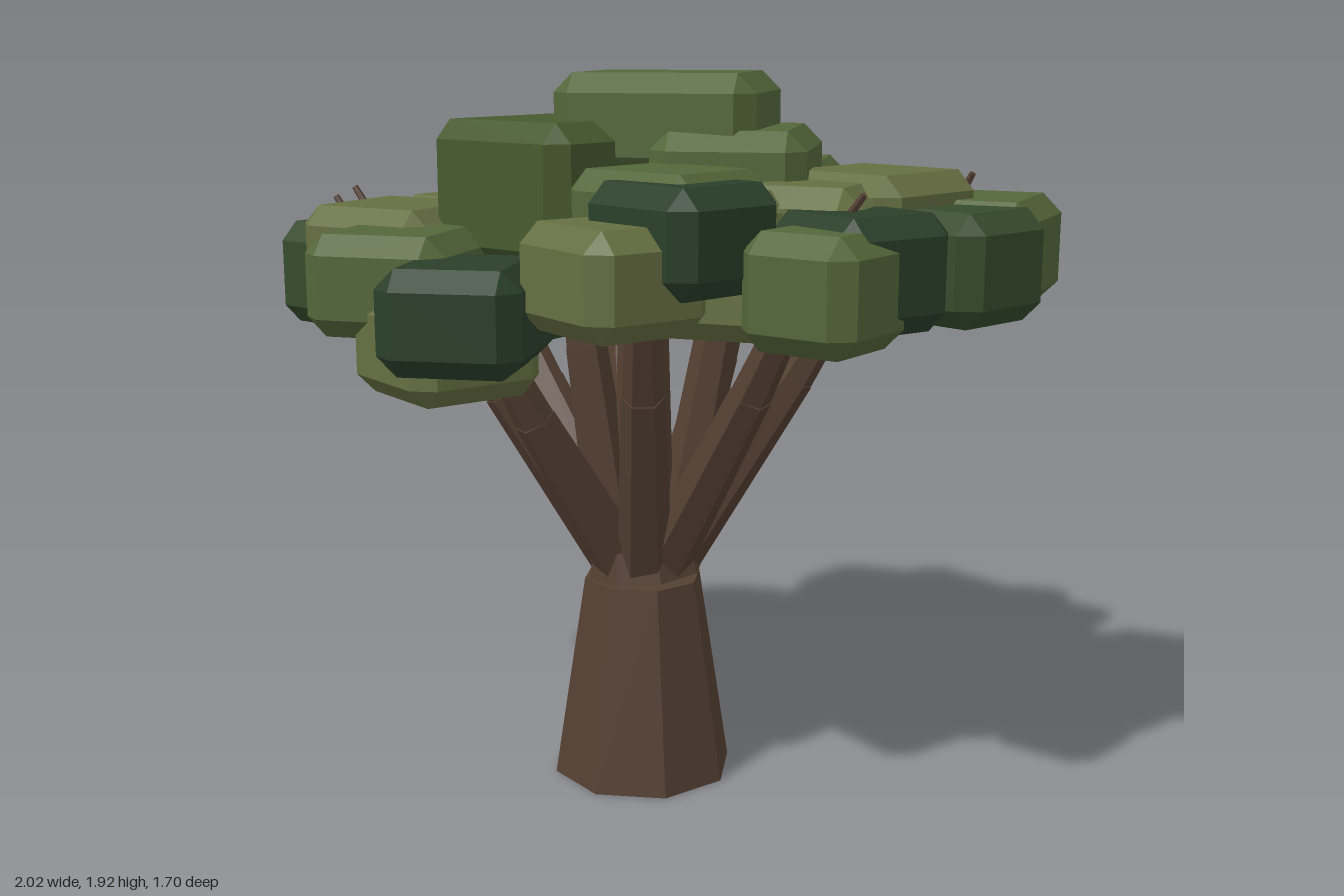
import * as THREE from 'three';
import { ConvexGeometry } from 'three/addons/geometries/ConvexGeometry.js';

const mat = (color) => new THREE.MeshStandardMaterial({ color, flatShading: true });
const bark = mat(0x544033);
const teal = mat(0x2a3f2a), dark = mat(0x364b2c), mid = mat(0x475a2f);
const green = mat(0x54673a), olive = mat(0x666f42);

// Box with every edge and corner chamfered by c
function chamferBox(w, h, d, c = 0.05) {
  const half = [w / 2, h / 2, d / 2];
  const points = [];
  for (const sx of [-1, 1]) for (const sy of [-1, 1]) for (const sz of [-1, 1]) {
    for (let axis = 0; axis < 3; axis++) {
      const [x, y, z] = half.map((v, i) => (i === axis ? v : v - c));
      points.push(new THREE.Vector3(sx * x, sy * y, sz * z));
    }
  }
  return new ConvexGeometry(points);
}

// Tapered straight piece of wood between two points
function limb(name, from, to, r0, r1, sides) {
  const dir = to.clone().sub(from);
  const mesh = new THREE.Mesh(new THREE.CylinderGeometry(r1, r0, dir.length(), sides), bark);
  mesh.position.lerpVectors(from, to, 0.5);
  mesh.quaternion.setFromUnitVectors(new THREE.Vector3(0, 1, 0), dir.normalize());
  mesh.name = name;
  return mesh;
}

const vec = (x, y, z) => new THREE.Vector3(x, y, z);

// Two-part branch from the collar to a tip inside the leaves
function branch(x, y, z) {
  const group = new THREE.Group();
  group.name = 'branch';
  const tip = vec(x, y, z);
  const reach = Math.hypot(x, z - 0.04);
  const k = Math.min(0.085 / reach, 0.4);
  const base = vec(x * k, 0.62, 0.04 + (z - 0.04) * k);
  const joint = base.clone().lerp(tip, 0.67);
  joint.y -= 0.015;
  group.add(limb('lowerBranch', base, joint, 0.074, 0.056, 6));
  group.add(limb('upperBranch', joint, tip, 0.054, 0.04, 6));
  return group;
}

// Leaf block of a given height, hung from its top
function leafBlock(height, color, x, z, top, size, turn, depth = size) {
  const mesh = new THREE.Mesh(chamferBox(size, height, depth), color);
  mesh.position.set(x, top - height / 2, z);
  mesh.rotation.y = turn;
  mesh.name = 'leafBlock';
  return mesh;
}

function leafCluster(name, height, blocks) {
  const group = new THREE.Group();
  group.name = name;
  for (const block of blocks) group.add(leafBlock(height, ...block));
  return group;
}

export function createModel() {
  const tree = new THREE.Group();
  tree.name = 'tree';

  // Trunk, a slightly tilted collar above a narrow crack, and the central limb
  tree.add(limb('trunk', vec(-0.005, 0, 0.045), vec(-0.005, 0.56, 0.045), 0.25, 0.163, 8));
  tree.add(limb('trunkCollar', vec(0.005, 0.572, 0.04), vec(-0.003, 0.66, 0.043), 0.16, 0.142, 8));
  tree.add(limb('centralLimb', vec(0, 0.62, 0.04), vec(-0.03, 1.7, 0), 0.085, 0.06, 7));

  // Branches fanning out
  const tips = [
    [-0.6, 1.33, 0.12], [-0.56, 1.27, -0.12], [-0.34, 1.36, -0.38], [0.06, 1.4, -0.42],
    [0.52, 1.4, -0.16], [0.54, 1.4, 0.22], [0.22, 1.4, 0.42], [-0.2, 1.27, 0.47],
    [-0.4, 1.34, 0.38], [0.2, 1.55, -0.1], [-0.18, 1.5, 0.12],
  ];
  for (const tip of tips) tree.add(branch(...tip));

  // Leaf clusters: colour, x, z, top, size, turn and, where not square, depth
  tree.add(leafCluster('crownLeaves', 0.26, [
    [green, 0.03, -0.04, 1.92, 0.53, 0.29, 0.45],
    [green, 0.21, -0.09, 1.78, 0.4, 0.35, 0.52],
  ]));
  tree.add(leafCluster('tallCrownLeaves', 0.37, [
    [mid, -0.22, 0.12, 1.8, 0.48, -0.17, 0.51],
    [green, 0.09, -0.5, 1.67, 0.42, 0.32],
    [olive, 0.25, -0.28, 1.65, 0.42, 0.2],
    [olive, 0.28, 0.13, 1.65, 0.42, 0.2],
  ]));
  tree.add(leafCluster('backLeaves', 0.33, [
    [dark, -0.385, -0.455, 1.6, 0.41, -0.28],
    [olive, -0.18, -0.65, 1.58, 0.37, -0.31, 0.34],
    [dark, -0.41, -0.575, 1.56, 0.35, 0.2],
    [teal, 0.28, -0.53, 1.57, 0.36, -0.15],
  ]));
  tree.add(leafCluster('leftLeaves', 0.28, [
    [green, 0.75, -0.31, 1.61, 0.45, 0.1, 0.4],
    [dark, 0.825, -0.1, 1.6, 0.33, -0.3],
    [olive, 0.575, -0.14, 1.68, 0.4, -0.25],
    [olive, 0.51, 0.09, 1.66, 0.33, 0.12],
    [teal, 0.69, 0.21, 1.61, 0.34, -0.45],
    [green, 0.67, 0.36, 1.58, 0.31, -0.12],
  ]));
  tree.add(leafCluster('frontLeaves', 0.26, [
    [green, 0.24, 0.33, 1.7, 0.4, -0.2, 0.36],
    [teal, 0.33, 0.42, 1.68, 0.37, -0.3, 0.35],
    [olive, 0.22, 0.555, 1.59, 0.37, -0.42, 0.34],
    [teal, -0.16, 0.62, 1.48, 0.36, 0.35, 0.39],
    [green, -0.46, 0.5, 1.53, 0.38, 0.25],
    [olive, -0.28, 0.54, 1.39, 0.37, -0.4],
  ]));
  tree.add(leafCluster('rightLeaves', 0.28, [
    [olive, -0.63, 0.27, 1.57, 0.41, 0.02],
    [olive, -0.58, -0.08, 1.57, 0.41, -0.16],
    [dark, -0.83, 0.23, 1.51, 0.31, -0.15, 0.34],
    [dark, -0.81, -0.08, 1.51, 0.3, -0.28, 0.36],
    [dark, -0.66, -0.22, 1.4, 0.37, -0.08],
  ]));

  // Thin twigs poking out of the leaves, each leaning by dx
  const twigs = [
    [-0.78, 1.51, 0.2, -0.06], [-0.78, 1.49, 0.28, -0.06], [0.71, 1.58, -0.36, -0.03],
    [0.74, 1.58, -0.28, 0.05], [0.64, 1.56, 0.22, 0.07], [-0.2, 1.54, -0.62, 0.03],
  ];
  for (const [x, y, z, dx] of twigs) {
    tree.add(limb('twig', vec(x, y, z), vec(x + dx, y + 0.09, z + 0.01), 0.013, 0.009, 5));
  }

  return tree;
}
